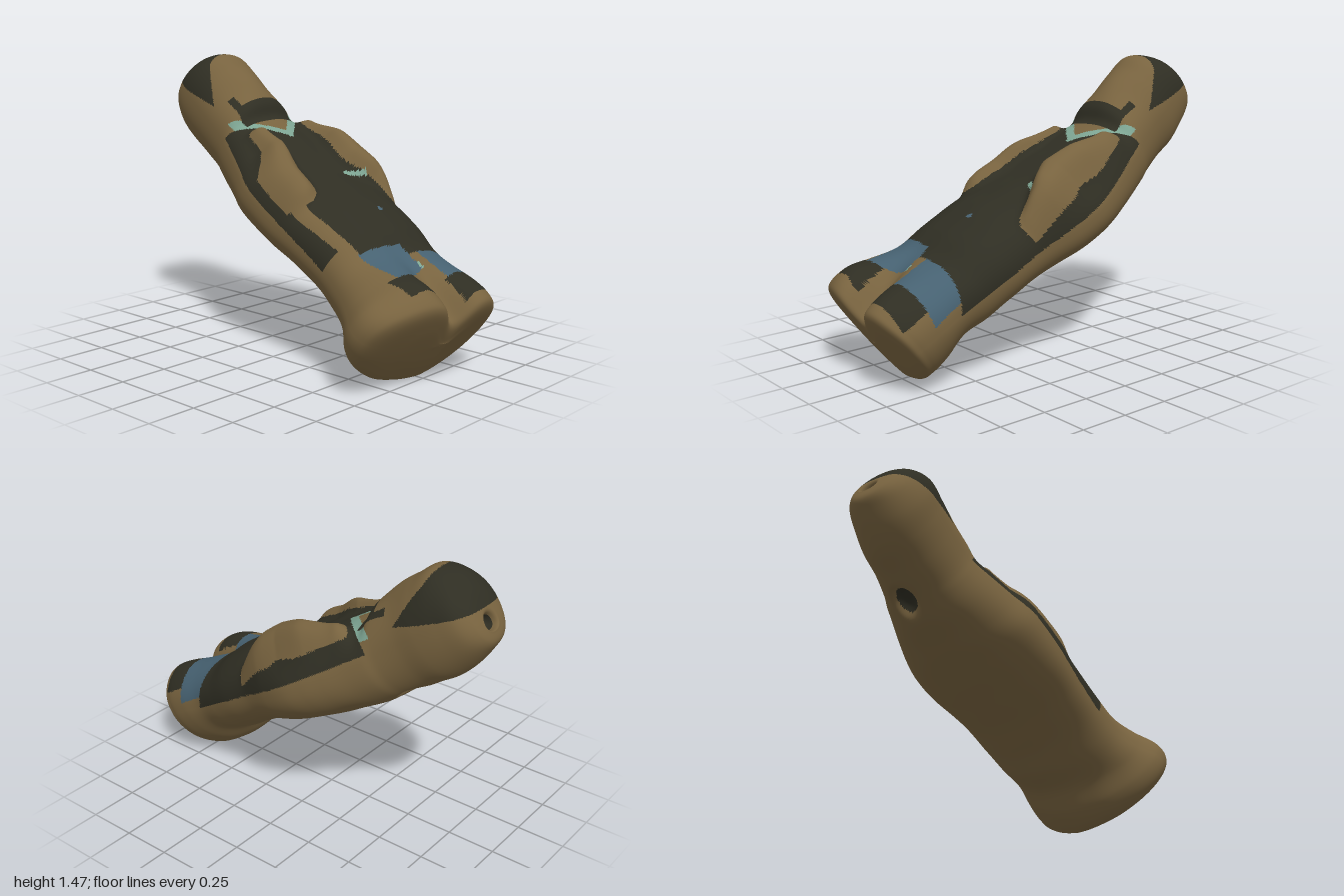
import * as THREE from 'three';

const { smoothstep, clamp, lerp } = THREE.MathUtils;

const mat = (name, color) => {
  const m = new THREE.MeshStandardMaterial({ color });
  m.name = name;
  return m;
};

// Stations along the leaning axis: [s, left x, right x, back, front, widest height]
const stations = [
  [-0.012, -0.08, -0.08, 0.25, 0.25, 0.25], [-0.008, -0.28, 0.14, 0.09, 0.38, 0.26],
  [0.008, -0.44, 0.29, 0.0, 0.475, 0.28], [0.055, -0.49, 0.32, -0.02, 0.505, 0.28],
  [0.15, -0.48, 0.33, -0.005, 0.505, 0.28], [0.27, -0.41, 0.33, 0.05, 0.48, 0.27],
  [0.4, -0.35, 0.355, 0.05, 0.465, 0.27], [0.55, -0.32, 0.385, 0.06, 0.485, 0.27],
  [0.74, -0.31, 0.41, 0.055, 0.48, 0.25], [0.94, -0.31, 0.465, 0.03, 0.445, 0.23],
  [1.08, -0.3, 0.485, 0.015, 0.43, 0.23], [1.2, -0.28, 0.47, 0.005, 0.43, 0.23],
  [1.31, -0.23, 0.44, 0.0, 0.42, 0.23], [1.43, -0.18, 0.4, -0.005, 0.415, 0.23],
  [1.53, -0.14, 0.37, 0.0, 0.405, 0.23], [1.6, -0.12, 0.345, 0.005, 0.455, 0.24],
  [1.72, -0.11, 0.325, 0.01, 0.475, 0.26], [1.84, -0.105, 0.32, 0.015, 0.505, 0.27],
  [1.95, -0.1, 0.305, 0.04, 0.515, 0.28], [2.04, -0.065, 0.28, 0.08, 0.455, 0.27],
  [2.09, -0.01, 0.23, 0.11, 0.37, 0.24], [2.105, 0.05, 0.18, 0.15, 0.29, 0.21],
  [2.1, 0.075, 0.165, 0.165, 0.25, 0.2], [2.05, 0.09, 0.15, 0.18, 0.23, 0.2],
  [2.04, 0.12, 0.12, 0.2, 0.2, 0.2],
];

// Arms as (x, s, radius) paths lying on the front of the body
const leftArm = [[0.335, 1.41, 0.075], [0.345, 1.26, 0.085], [0.315, 1.08, 0.11], [0.37, 0.93, 0.09], [0.375, 0.8, 0.06]];
const rightArm = [[-0.07, 1.41, 0.045], [-0.1, 1.27, 0.055], [-0.2, 1.08, 0.1], [-0.22, 0.94, 0.09]];

// Distance to a path divided by its local radius
function armDistance(path, x, s) {
  let best = Infinity;
  for (let i = 0; i < path.length - 1; i++) {
    const [x0, s0, r0] = path[i], [x1, s1, r1] = path[i + 1];
    const dx = x1 - x0, ds = s1 - s0;
    const k = clamp(((x - x0) * dx + (s - s0) * ds) / (dx * dx + ds * ds), 0, 1);
    best = Math.min(best, Math.hypot(x - x0 - k * dx, s - s0 - k * ds) / (r0 + k * (r1 - r0)));
  }
  return best;
}

const bump = (x, s, cx, cs, wx, ws) => Math.exp(-(((x - cx) / wx) ** 2) - ((s - cs) / ws) ** 2);

// Raised and sunken forms on the front; the arms fade towards hand and shoulder
function relief(x, s) {
  const fade = smoothstep(s, 0.68, 1.0) * (1 - 0.4 * smoothstep(s, 1.22, 1.42));
  return 0.125 * fade * Math.exp(-(armDistance(leftArm, x, s) ** 3))
    + 0.08 * fade * Math.exp(-(armDistance(rightArm, x, s) ** 3))
    - 0.12 * bump(x, s, -0.03, 0.05, 0.075, 0.2)
    + 0.025 * bump(x, s, 0.18, 0.06, 0.11, 0.22)
    + 0.03 * bump(x, s, -0.24, 0.15, 0.1, 0.2)
    + 0.02 * bump(x, s, 0.11, 1.72, 0.09, 0.1);
}

const backHole = (x, s) => Math.hypot(x - 0.16, (s - 1.57) * 0.8) / 0.06;

// Which painted part a spot belongs to
function partAt(x, s, h, t) {
  if (t > 0.935) return 'crownHollow';
  if (h < 0.15) return backHole(x, s) < 0.9 ? 'backHollow' : 'body';
  if (t < 0.07) return 'body';
  const side = Math.abs(x - 0.11);
  const hairline = 1.78 + (h - 0.33) * 1.2 - Math.max(0, side - 0.13) * 0.7;
  if (h > 0.34 - (s - 1.75) * 0.2 && s > hairline) return 'hair';
  if (h > 0.37 && s > 1.51 && (s < 1.625 || (side > 0.14 && s < 1.7)) && side < 0.17) return 'beard';

  // Collar
  const neckline = 1.34 + side * 0.92;
  if (h > 0.33 && s > neckline && s < neckline + 0.06 && side < 0.26) return 'collar';
  if (s > neckline) return 'body';

  // Bare arms and the cuff
  if (x > 0.17 && x < 0.27 && Math.abs(s - 1.0 + (x - 0.17) * 0.6) < 0.015) return 'cuff';
  if (h > lerp(0.32, 0.37, smoothstep(s, 0.72, 0.98)) && armDistance(leftArm, x, s) < 1) return 'body';
  if (h > 0.33 && armDistance(rightArm, x, s) < 1) return 'body';
  if (h < 0.27) return 'body';

  // Legs and shoes
  const hem = 0.3 + (h - 0.33) * 0.55, ankle = 0.13 + (h - 0.33) * 0.25;
  if (x > 0.07 && h > 0.325 && s > ankle && s < hem) return 'trousers';
  if (x > -0.24 && x < 0.01 && s > 0.235 + Math.max(0, x + 0.12) * 0.3 && s < 0.44 - x * 0.12) return 'trousers';
  if (x > 0.05 && h > 0.4 && s > (h - 0.4) * 0.25 && s < ankle) return 'shoes';
  if (x > -0.3 && x < -0.11 && s < 0.235 && s > 0.1 - Math.max(0, x + 0.2) * 0.4) return 'shoes';
  if (x > 0.01 && x < 0.022 && s > 0.27 && s < 0.32) return 'trim';

  // Robe with a small stud and the bare strip beside its hem
  if (s < hem) return 'body';
  if (x < -0.23 && s < 0.9 && (x > -0.28 || s < 0.55)) return 'body';
  return Math.hypot(x - 0.09, s - 0.67) < 0.014 ? 'stud' : 'robe';
}

export function createModel() {
  const group = new THREE.Group();
  group.name = 'recliningFigurine';
  const brown = mat('clay brown', 0x78633f);
  const dark = mat('dark olive', 0x2f2e23);
  const blue = mat('slate blue', 0x466171);
  const pale = mat('pale teal', 0x7da492);
  const paint = {
    body: brown, robe: dark, hair: dark, beard: dark, shoes: dark, crownHollow: dark,
    backHollow: dark, trousers: blue, stud: blue, collar: pale, cuff: pale, trim: pale,
  };

  // Smooth loft through the stations
  const curve = (a) => new THREE.CatmullRomCurve3(
    stations.map((k) => new THREE.Vector3(k[a], k[a + 1], k[a + 2])), false, 'catmullrom', 0.5);
  const outline = curve(0), depth = curve(3);
  const N = 320, M = 220;
  const positions = [], local = [];
  const power = (v, e) => Math.sign(v) * Math.abs(v) ** e;
  for (let i = 0; i <= N; i++) {
    const t = i / N;
    const o = outline.getPoint(t), d = depth.getPoint(t);
    // Boxier feet, rounder head, keel-like back at the base
    const frontPower = lerp(0.78, 0.87, smoothstep(o.x, 0.2, 0.5)) + 0.11 * smoothstep(o.x, 1.55, 1.8);
    const backPower = lerp(1.08, 0.9, smoothstep(o.x, 0.15, 0.45));
    for (let j = 0; j < M; j++) {
      const a = (j / M) * Math.PI * 2;
      const up = Math.sin(a) > 0;
      const x = (o.y + o.z) / 2 + ((o.z - o.y) / 2) * power(Math.cos(a), up ? frontPower : 0.9);
      const v = power(Math.sin(a), up ? frontPower : backPower);
      let s = o.x;
      let h = d.z + v * (up ? d.y - d.z : d.z - d.x);
      if (up) h += relief(x, s) * smoothstep(h, 0.24, 0.4);
      else if (h < 0.15) h += 0.06 * Math.exp(-(backHole(x, s) ** 4));
      // Gentle hand-modelled unevenness
      h += 0.002 * Math.sin(x * 21 + s * 13) * Math.sin(s * 17 - x * 15) * Math.abs(v);
      // The base is cut at a slant, shorter on one foot
      s += (Math.max(0, -x) * 0.18 - 0.1 * h) * (1 - smoothstep(s, 0, 0.4));
      local.push([x, s, h, t]);
      positions.push(x, 0.53 * s + 0.85 * h, 0.7 - 0.85 * s + 0.53 * h);
    }
  }

  // Sort the faces into painted parts
  const faces = Object.fromEntries(Object.keys(paint).map((k) => [k, []]));
  const all = [];
  const addFace = (...f) => {
    const c = [0, 1, 2, 3].map((k) => (local[f[0]][k] + local[f[1]][k] + local[f[2]][k]) / 3);
    faces[partAt(...c)].push(...f);
    all.push(...f);
  };
  for (let i = 0; i < N; i++) {
    for (let j = 0; j < M; j++) {
      const j2 = (j + 1) % M;
      const p = i * M + j, q = p + M, r = i * M + j2, u = r + M;
      addFace(p, q, r);
      addFace(q, u, r);
    }
  }

  // Shared smooth surface, standing on the ground and centred
  const surface = new THREE.BufferGeometry();
  surface.setAttribute('position', new THREE.Float32BufferAttribute(positions, 3));
  surface.setIndex(all);
  surface.computeBoundingBox();
  const { min, max } = surface.boundingBox;
  surface.translate(0, -min.y, -(min.z + max.z) / 2);
  surface.computeVertexNormals();

  for (const [name, index] of Object.entries(faces)) {
    if (!index.length) continue;
    const g = new THREE.BufferGeometry();
    g.setAttribute('position', surface.attributes.position);
    g.setAttribute('normal', surface.attributes.normal);
    g.setIndex(index);
    const mesh = new THREE.Mesh(g, paint[name]);
    mesh.name = name;
    group.add(mesh);
  }
  return group;
}
